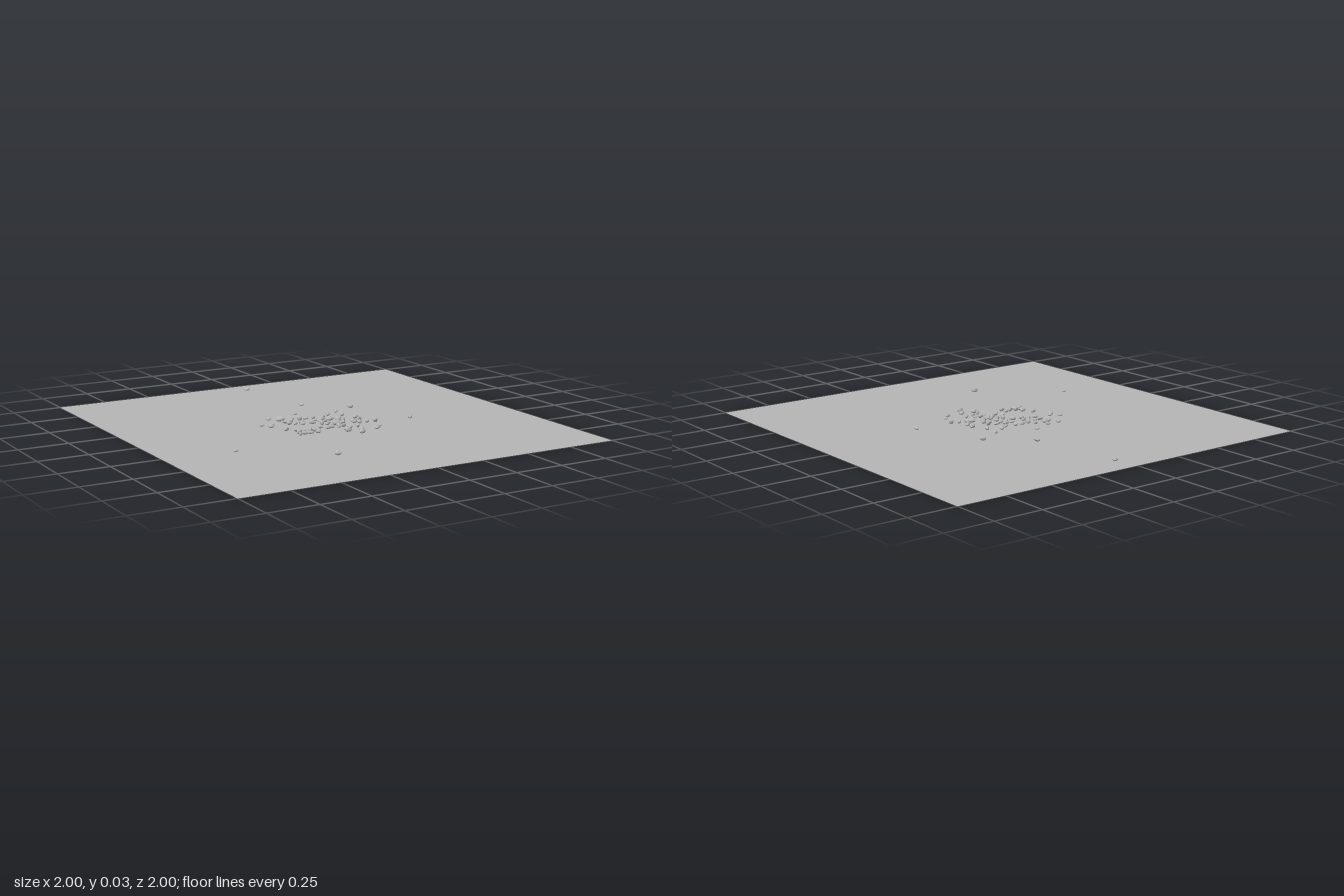
import * as THREE from 'three';

// Small seeded generator for the variation between pebbles
function makeRandom(seed) {
  return () => (seed = (seed * 16807) % 2147483647) / 2147483647;
}

// Pebble centres as x, z: loose stones first, then the central heap
const STRAYS = [
  0.03, -0.88, 0.10, -0.40, 0.29, -0.23, -0.04, -0.23, 0.43, 0.12, -0.65, 0.30,
  -0.27, 0.59, -0.30, -0.09, 0.05, 0.28, 0.16, 0.24, 0.08, 0.23, 0.20, 0.20,
  0.23, 0.11, 0.19, 0.10, 0.17, -0.17, 0.16, -0.09, 0.19, -0.01, 0.10, -0.13,
  -0.21, -0.19, -0.14, -0.19, -0.28, -0.04, -0.24, 0.05, -0.26, -0.06,
];
const HEAP = [
  -0.18, -0.14, -0.15, -0.15, -0.17, -0.09, -0.13, -0.10, -0.10, -0.14, -0.08, -0.11,
  -0.14, -0.04, -0.11, -0.02, -0.17, -0.05, -0.10, -0.05, -0.06, -0.01, -0.04, -0.11,
  -0.02, -0.06, 0.00, -0.11, 0.02, -0.06, 0.05, -0.10, 0.06, -0.04, -0.01, -0.02,
  -0.03, 0.03, 0.02, 0.02, 0.05, 0.05, 0.10, -0.02, 0.10, 0.02, 0.08, 0.00,
  0.07, 0.06, 0.03, 0.09, 0.00, 0.08, -0.07, 0.09, -0.05, 0.12, -0.02, 0.11,
  0.01, 0.13, 0.04, 0.12, 0.06, 0.14, 0.10, 0.16, 0.13, 0.07, 0.15, 0.09,
  0.01, 0.19, 0.01, 0.22, 0.05, 0.17, -0.13, 0.17, -0.13, 0.13, -0.16, 0.14,
  -0.19, 0.13, -0.21, 0.10, -0.22, 0.14, -0.20, 0.16, -0.23, 0.17, -0.17, 0.16,
  0.17, 0.05, 0.19, 0.03, 0.02, -0.02, -0.01, 0.05, 0.03, 0.06,
];

// Irregular faceted stone, resting on y = 0
function pebbleGeometry(random) {
  const geometry = new THREE.IcosahedronGeometry(1, 1);
  const p = geometry.attributes.position;
  const v = new THREE.Vector3();
  const a = random() * 6, b = random() * 6, c = random() * 6;
  for (let i = 0; i < p.count; i++) {
    v.fromBufferAttribute(p, i);
    const bump = 1 + 0.12 * (Math.sin(3 * v.x + a) + Math.sin(3 * v.y + b) + Math.sin(3 * v.z + c));
    v.multiplyScalar(bump);
    p.setXYZ(i, v.x, v.y, v.z);
  }
  const size = 0.011 + 0.005 * random();
  geometry.scale(size * (1 + 0.15 * random()), size * (0.6 + 0.2 * random()), size * (0.7 + 0.2 * random()));
  geometry.rotateX((random() - 0.5) * 0.8);
  geometry.rotateY(random() * Math.PI * 2);
  geometry.computeVertexNormals();
  geometry.computeBoundingBox();
  geometry.translate(0, 0.001 - geometry.boundingBox.min.y, 0);
  return geometry;
}

export function createModel() {
  const model = new THREE.Group();
  const random = makeRandom(4321);
  const stone = new THREE.MeshStandardMaterial({ color: 0xb4b4b4, flatShading: true, side: THREE.DoubleSide });
  stone.name = 'stone grey';

  // Flat square ground sheet
  const ground = new THREE.Mesh(new THREE.PlaneGeometry(2, 2).rotateX(-Math.PI / 2), stone);
  ground.name = 'groundSheet';
  model.add(ground);

  // Scattered pebbles
  for (const [name, spots] of [['strayPebbles', STRAYS], ['pebbleHeap', HEAP]]) {
    const group = new THREE.Group();
    group.name = name;
    for (let i = 0; i < spots.length; i += 2) {
      const pebble = new THREE.Mesh(pebbleGeometry(random), stone);
      pebble.name = 'pebble';
      pebble.position.set(spots[i], 0, spots[i + 1]);
      group.add(pebble);
    }
    model.add(group);
  }
  return model;
}
